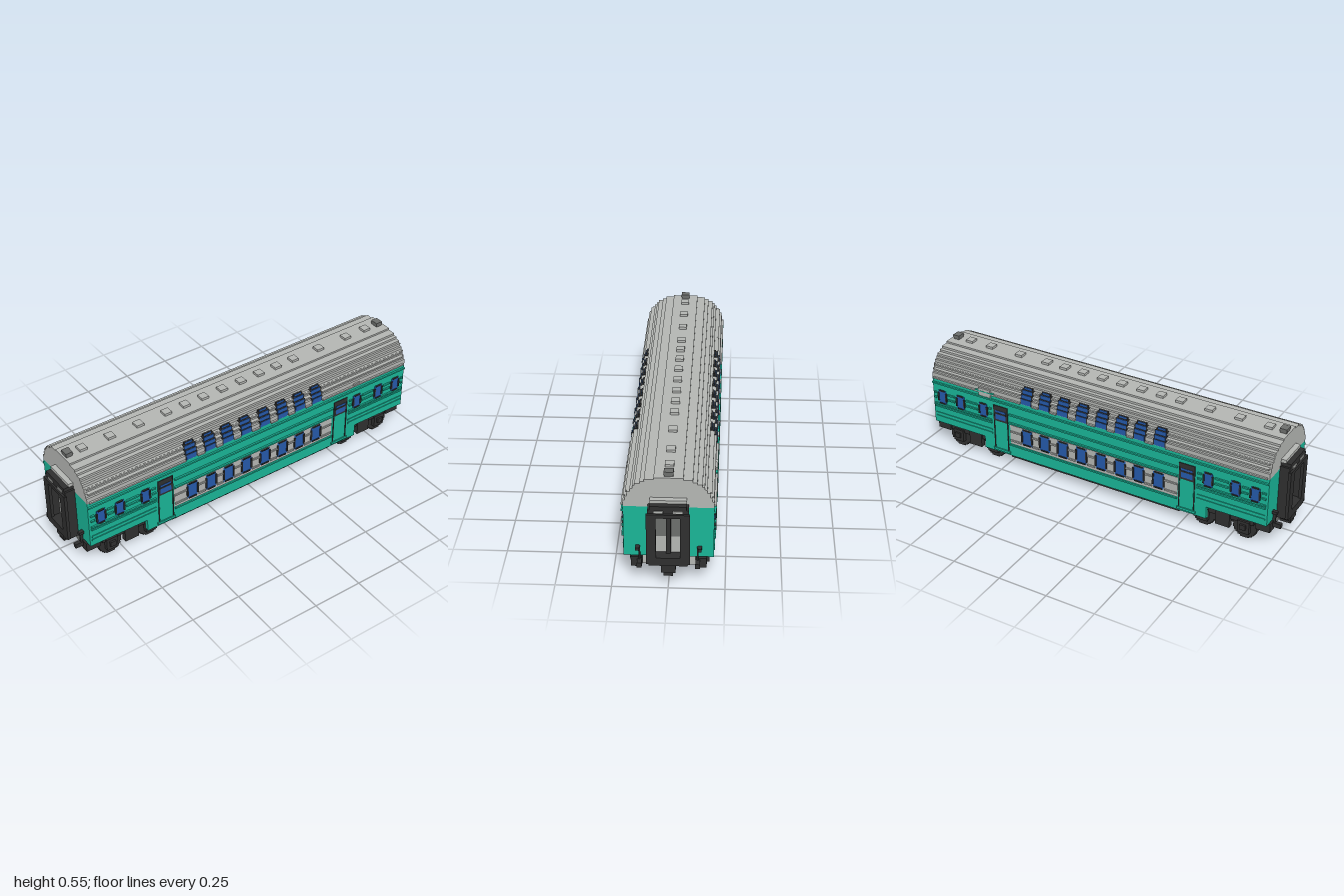
import * as THREE from 'three';

const mat = (name, color) => {
  const m = new THREE.MeshStandardMaterial({ color });
  m.name = name;
  return m;
};

export function createModel() {
  const green = mat('teal paint', 0x19b597);
  const grey = mat('light grey', 0xb4b6b3);
  const mid = mat('mid grey', 0x6c6e6c);
  const dark = mat('dark grey', 0x2f2f2f);
  const blue = mat('window blue', 0x2559aa);

  const root = new THREE.Group();
  root.name = 'doubleDeckCarriage';

  // Box given by its limits on each axis
  const box = (name, m, x0, x1, y0, y1, z0, z1, parent = root) => {
    const mesh = new THREE.Mesh(new THREE.BoxGeometry(x1 - x0, y1 - y0, z1 - z0), m);
    mesh.position.set((x0 + x1) / 2, (y0 + y1) / 2, (z0 + z1) / 2);
    mesh.name = name;
    parent.add(mesh);
  };
  const group = (name, parent = root) => {
    const g = new THREE.Group();
    g.name = name;
    parent.add(g);
    return g;
  };

  // Body shell and sunken centre section
  box('body', green, -0.94, 0.94, 0.13, 0.385, -0.198, 0.198);
  box('sunkenBody', green, -0.63, 0.63, 0.065, 0.13, -0.198, -0.18);
  box('sunkenBody', green, -0.63, 0.63, 0.065, 0.13, 0.18, 0.198);
  box('floor', dark, -0.48, 0.48, 0.044, 0.13, -0.18, 0.18);
  box('underframe', dark, -0.93, 0.93, 0.124, 0.1305, -0.18, 0.18);

  // Stepped roof: [top of step, half width]
  const steps = [[0.415, 0.198], [0.437, 0.188], [0.46, 0.179], [0.475, 0.167], [0.489, 0.156],
    [0.5, 0.146], [0.511, 0.124], [0.522, 0.105], [0.531, 0.064]];
  const half = [];
  steps.forEach(([y, w], i) => half.push([w, i ? steps[i - 1][0] : 0.385], [w, y]));
  const outline = [...half, ...half.map(([w, y]) => [-w, y]).reverse()];
  const roofShape = new THREE.Shape(outline.map(([w, y]) => new THREE.Vector2(w, y)));
  const roofGeo = new THREE.ExtrudeGeometry(roofShape, { depth: 1.88, bevelEnabled: false });
  roofGeo.translate(0, 0, -0.94).rotateY(Math.PI / 2);
  const roof = new THREE.Mesh(roofGeo, grey);
  roof.name = 'roof';
  root.add(roof);

  // Roof vents
  for (const x of [-0.84, -0.69, -0.535, -0.38, -0.275, -0.17, -0.06, 0.05, 0.16, 0.265, 0.37, 0.53, 0.705, 0.83])
    box('roofVent', grey, x - 0.02, x + 0.02, 0.53, 0.543, -0.02, 0.02);
  for (const x of [-0.915, 0.91]) {
    box('endVentBase', mid, x - 0.016, x + 0.016, 0.53, 0.545, -0.02, 0.02);
    box('endVentCap', mid, x - 0.018, x + 0.018, 0.54, 0.553, -0.021, 0.021);
  }

  // Blue pane between dark side posts, with dark lips above and below
  const wallWindow = (p, x, y, w, h) => {
    box('windowPane', blue, x - w / 2 + 0.003, x + w / 2 - 0.003, y - h / 2, y + h / 2, 0.193, 0.2015, p);
    for (const e of [-1, 1]) {
      const post = x + e * (w / 2 - 0.003);
      box('windowPost', dark, post - 0.004, post + 0.004, y - h / 2 + 0.014, y + h / 2 - 0.014, 0.193, 0.206, p);
      const lip = y + e * (h / 2 - 0.001);
      box('windowLip', dark, x - w / 2 + 0.01, x + w / 2 - 0.01, lip - 0.003, lip + 0.003, 0.193, 0.206, p);
    }
  };
  const deckXs = [-0.375, -0.267, -0.165, -0.058, 0.053, 0.16, 0.265, 0.37];
  const endXs = [-0.875, -0.775, -0.635, 0.63, 0.77, 0.883];

  // Ribs that skip over the windows they cross
  const brokenRib = (p, name, m, x0, x1, y, z, xs, gap) => {
    const inside = xs.filter((x) => x > x0 && x < x1);
    const starts = [x0, ...inside.map((x) => x + gap)];
    const ends = [...inside.map((x) => x - gap), x1];
    starts.forEach((a, i) => box(name, m, a, ends[i], y - 0.004, y + 0.004, z - 0.02, z, p));
  };

  // Both sides carry the same fittings
  for (const s of [1, -1]) {
    const side = group(s > 0 ? 'frontSide' : 'backSide');
    box('lowerPanel', grey, -0.478, 0.47, 0.138, 0.246, 0.194, 0.2, side);

    for (const x of deckXs) {
      wallWindow(side, x, 0.198, 0.064, 0.086);
      // Upper windows follow the roof in steps, dark on top and blue in front
      [[0.388, 0.418, 0.201], [0.418, 0.44, 0.195], [0.44, 0.462, 0.186], [0.462, 0.474, 0.177]].forEach(([a, b, z], i) => {
        const w = i === 3 ? 0.02 : 0.028;
        box('upperFrame', dark, x - w - 0.005, x + w + 0.005, a, b, z - 0.03, z - 0.002, side);
        box('upperPane', blue, x - w, x + w, a, b - 0.001, z - 0.003, z, side);
      });
    }
    for (const x of endXs) wallWindow(side, x, 0.286, 0.052, 0.074);

    // Ribs on the roof edge, the walls and the lower panel
    brokenRib(side, 'gutter', grey, -0.93, 0.93, 0.39, 0.207, deckXs, 0.034);
    brokenRib(side, 'roofRib', grey, -0.93, 0.93, 0.433, 0.197, deckXs, 0.034);
    brokenRib(side, 'roofRib', grey, -0.93, 0.93, 0.455, 0.187, deckXs, 0.034);
    box('longRib', green, -0.94, 0.94, 0.358, 0.366, 0.19, 0.207, side);
    for (const y of [0.257, 0.305]) box('middleRib', green, -0.475, 0.475, y - 0.004, y + 0.004, 0.19, 0.207, side);
    box('skirtRib', green, -0.475, 0.475, 0.127, 0.135, 0.19, 0.206, side);
    for (const y of [0.158, 0.21])
      brokenRib(side, 'panelRib', grey, -0.475, 0.468, y, 0.206, deckXs, 0.034);
    for (const [x0, x1] of [[-0.93, -0.58], [0.58, 0.93]]) {
      for (const y of [0.165, 0.185]) box('endRib', green, x0, x1, y - 0.004, y + 0.004, 0.19, 0.202, side);
      for (const y of [0.228, 0.242]) box('endRib', green, x0, x1, y - 0.004, y + 0.004, 0.19, 0.206, side);
      for (const y of [0.278, 0.307]) brokenRib(side, 'shortRib', green, x0, x1, y, 0.206, endXs, 0.035);
    }

    for (const x of [-0.525, 0.525]) {
      // Passenger door with a dark surround over its window
      const door = group('door', side);
      box('doorLeaf', green, x - 0.036, x + 0.036, 0.09, 0.25, 0.194, 0.2, door);
      box('doorWindowFrame', dark, x - 0.04, x + 0.04, 0.247, 0.335, 0.194, 0.2015, door);
      box('doorWindow', blue, x - 0.03, x + 0.03, 0.258, 0.308, 0.195, 0.203, door);
      box('doorWindowBar', dark, x - 0.034, x + 0.034, 0.288, 0.296, 0.195, 0.205, door);
      box('doorStep', green, x - 0.05, x + 0.05, 0.075, 0.087, 0.194, 0.204, door);
      for (const e of [-0.04, 0.04]) box('doorJamb', dark, x + e - 0.002, x + e + 0.002, 0.09, 0.335, 0.194, 0.2025, door);
    }
    if (s > 0) box('sideGrille', grey, 0.6, 0.64, 0.388, 0.402, 0.19, 0.205, side);
    else box('sideGrille', grey, 0.58, 0.65, 0.37, 0.412, 0.19, 0.207, side);
    side.scale.z = s;
  }
  // Coloured lip over the back grille
  box('grilleLip', green, 0.56, 0.67, 0.393, 0.398, -0.208, -0.19);

  // Gangway, coupler and buffers, built at +x and turned for the other end
  for (const turn of [0, Math.PI]) {
    const end = group('carriageEnd');
    box('gangwayBack', mid, 0.93, 0.95, 0.24, 0.37, -0.06, 0.06, end);
    box('gangwayLowerBack', grey, 0.93, 0.95, 0.15, 0.24, -0.06, 0.06, end);
    box('doorPost', dark, 0.95, 0.962, 0.155, 0.343, -0.01, 0.01, end);
    for (const z of [-0.074, 0.074]) {
      box('gangwayBellows', dark, 0.94, 0.99, 0.12, 0.4, z - 0.015, z + 0.015, end);
      box('gangwayFace', dark, 0.985, 1, 0.125, 0.38, z - 0.021, z + 0.021, end);
    }
    box('gangwayTop', dark, 0.94, 0.99, 0.366, 0.418, -0.08, 0.08, end);
    box('gangwayFaceTop', dark, 0.985, 1, 0.364, 0.382, -0.09, 0.09, end);
    box('gangwayHood', grey, 0.94, 0.965, 0.416, 0.433, -0.08, 0.08, end);
    box('gangwaySill', dark, 0.94, 1, 0.118, 0.158, -0.085, 0.085, end);
    for (const z of [-0.042, 0.042]) box('endLamp', grey, 0.985, 0.994, 0.386, 0.397, z - 0.02, z + 0.02, end);
    box('bufferBeam', mid, 0.915, 0.935, 0.076, 0.13, -0.085, 0.085, end);
    box('coupler', dark, 0.9, 0.99, 0.075, 0.13, -0.032, 0.032, end);
    box('couplerHook', dark, 0.93, 0.985, 0.055, 0.08, -0.02, 0.02, end);
    for (const m of [-1, 1]) {
      const z = m * 0.128;
      box('beamBracket', grey, 0.922, 0.93, 0.08, 0.13, m * 0.101 - 0.016, m * 0.101 + 0.016, end);
      box('buffer', dark, 0.92, 0.985, 0.095, 0.118, z - 0.01, z + 0.01, end);
      box('endStep', dark, 0.87, 0.945, 0.075, 0.124, m * 0.143 - 0.024, m * 0.143 + 0.024, end);
      box('handrail', dark, 0.94, 0.955, 0.118, 0.183, z - 0.003, z + 0.003, end);
      box('handrailHook', dark, 0.94, 0.965, 0.17, 0.185, m * 0.137 - 0.008, m * 0.137 + 0.008, end);
    }
    end.rotation.y = turn;
  }

  // Bogies with stepped wheels
  for (const m of [1, -1]) {
    const bogie = group('bogie');
    bogie.position.x = m * 0.706;
    box('bolster', dark, -0.06, 0.06, 0.046, 0.078, -0.13, 0.13, bogie);
    box('pivot', dark, -0.03, 0.03, 0.07, 0.128, -0.03, 0.03, bogie);
    for (const s of [1, -1]) {
      const zs = (a, b) => (s > 0 ? [a, b] : [-b, -a]);
      box('sideFrame', dark, -0.155, 0.155, 0.085, 0.118, ...zs(0.145, 0.168), bogie);
      box('springBox', dark, -0.037, 0.037, 0.04, 0.125, ...zs(0.15, 0.178), bogie);
      for (const x of [-0.108, 0.108]) {
        for (const [w, h] of [[0.022, 0.06], [0.036, 0.052], [0.046, 0.042], [0.054, 0.032], [0.06, 0.018]])
          box('wheel', dark, x - w, x + w, 0.06 - h, 0.06 + h, ...zs(0.126, 0.156), bogie);
        box('axleBox', dark, x - 0.03, x + 0.03, 0.035, 0.1, ...zs(0.15, 0.178), bogie);
        box('axleCap', dark, x - 0.015, x + 0.015, 0.058, 0.085, ...zs(0.17, 0.188), bogie);
      }
    }
    for (const x of [-0.108, 0.108]) box('axle', dark, x - 0.014, x + 0.014, 0.046, 0.074, -0.13, 0.13, bogie);
  }

  return root;
}
